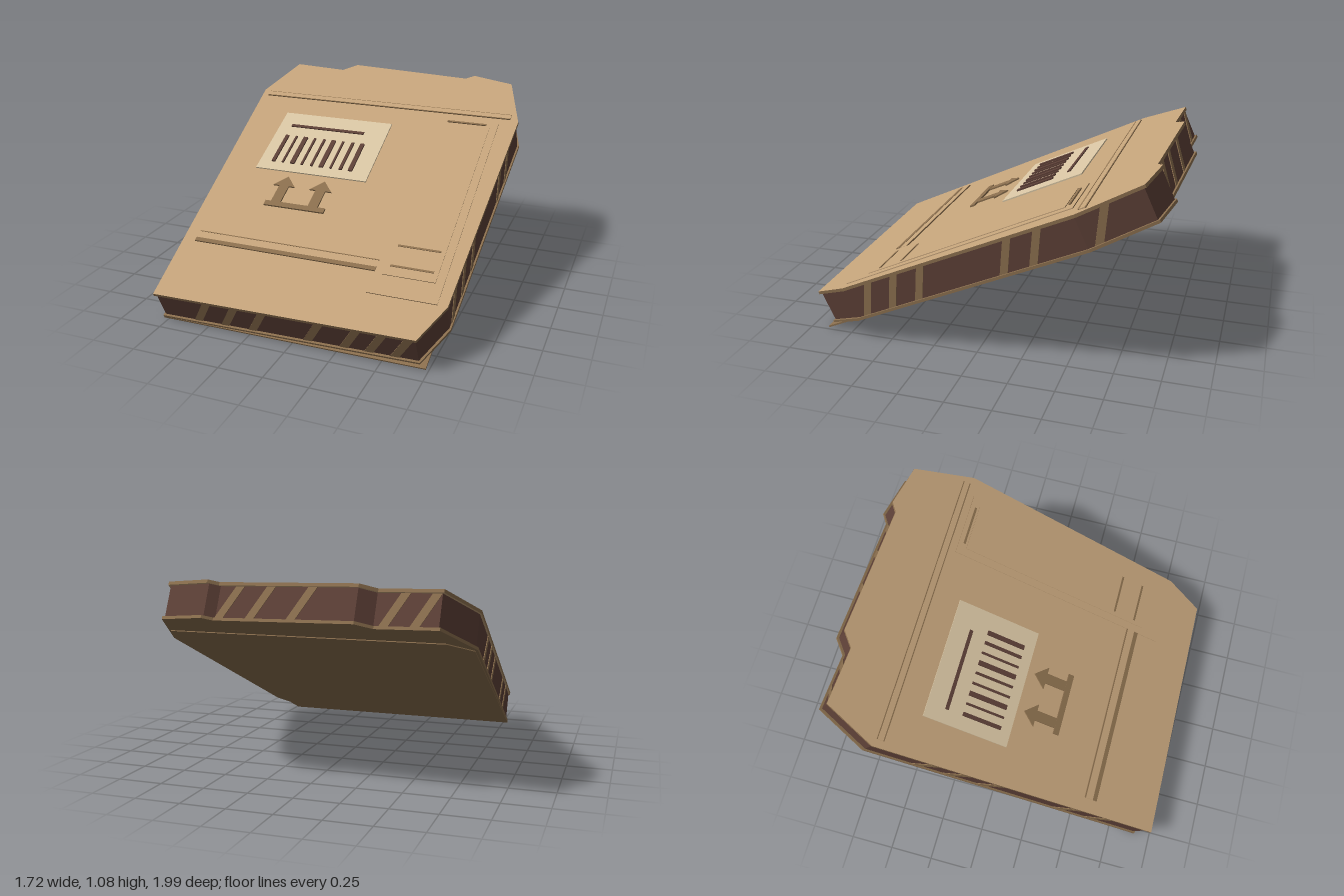
import * as THREE from 'three';

const mat = (name, color) => {
  const m = new THREE.MeshStandardMaterial({ color });
  m.name = name;
  return m;
};

// Slab outline as (x, z), counter-clockwise seen from above, starting at front left of the plan
const OUTLINE = [
  [-0.78, 1.046], [0.70, 1.022], [0.80, 0.79], [0.855, -0.646], [0.74, -0.996], [0.49, -1.048],
  [0.44, -1.013], [-0.32, -1.055], [-0.40, -0.99], [-0.73, -1.01], [-0.86, -0.712],
];
const BACKING = [[-0.78, 1.046], [0.735, 1.04], [0.79, -0.8], [-0.72, -0.8], [-0.845, -0.7]];
const INSET = 0.988;
const TOP = 0.103;

export function createModel() {
  const board = mat('cardboard', 0xc4a37a);
  const edge = mat('cardboardEdge', 0x8b6f4e);
  const dark = mat('darkBrown', 0x5d4037);
  const paper = mat('labelPaper', 0xd8c5a3);

  const model = new THREE.Group();
  model.name = 'cardboardSlab';
  const slab = new THREE.Group();
  slab.name = 'tiltedSlab';
  slab.rotation.x = THREE.MathUtils.degToRad(25);
  slab.position.y = 0.541;
  model.add(slab);

  const add = (name, geometry, material) => {
    const mesh = new THREE.Mesh(geometry, material);
    mesh.name = name;
    slab.add(mesh);
    return mesh;
  };
  // Flat plate from a plan outline, between heights y0 and y1
  const plate = (name, points, y0, y1, material, s = 1) => {
    const shape = new THREE.Shape(points.map(([x, z]) => new THREE.Vector2(x * s, -z * s)));
    const g = new THREE.ExtrudeGeometry(shape, { depth: y1 - y0, bevelEnabled: false });
    g.rotateX(-Math.PI / 2).translate(0, y0, 0);
    return add(name, g, material);
  };
  // Raised rectangle on the top face
  const strip = (name, x0, x1, z0, z1, h, material) => {
    const g = new THREE.BoxGeometry(x1 - x0, h, z1 - z0);
    g.translate((x0 + x1) / 2, TOP + h / 2, (z0 + z1) / 2);
    return add(name, g, material);
  };

  // Body: top sheet, inset walls, bottom sheet and backing
  plate('topSheet', OUTLINE, 0.085, TOP, [board, edge]);
  plate('walls', OUTLINE, -0.088, 0.086, dark, INSET);
  plate('bottomSheet', OUTLINE, -TOP, -0.087, edge);
  plate('backing', BACKING, -TOP - 0.005, -TOP + 0.004, edge);

  // Slanted stripes on the walls: edge index -> positions along that edge
  const stripeShape = new THREE.Shape([[-0.072, -0.086], [-0.024, -0.086], [0.072, 0.084], [0.024, 0.084]]
    .map(([x, y]) => new THREE.Vector2(x, y)));
  const stripeGeometry = new THREE.ExtrudeGeometry(stripeShape, { depth: 0.004, bevelEnabled: false });
  const stripes = {
    0: [0.176, 0.287, 0.399, 0.618, 0.757, 0.851, 0.946],
    2: [0.074, 0.196, 0.32, 0.696, 0.819],
    3: [0.3],
    6: [0.09, 0.32, 0.62],
    8: [0.3, 0.78],
    10: [0.2, 0.31, 0.43, 0.72, 0.84],
  };
  for (const [index, positions] of Object.entries(stripes)) {
    const a = OUTLINE[index], b = OUTLINE[(+index + 1) % OUTLINE.length];
    for (const t of positions) {
      const m = add('wallStripe', stripeGeometry, edge);
      m.position.set((a[0] + (b[0] - a[0]) * t) * INSET, 0, (a[1] + (b[1] - a[1]) * t) * INSET);
      m.rotation.y = Math.atan2(a[1] - b[1], b[0] - a[0]);
    }
  }

  // Label with a header line and bars
  strip('label', -0.61, 0.10, -0.5, 0.015, 0.008, paper);
  strip('labelHeader', -0.53, -0.045, -0.393, -0.373, 0.014, dark);
  [0.022, 0.012, 0.028, 0.013, 0.014, 0.028, 0.012, 0.018, 0.026].forEach((w, i) => {
    const x = -0.52 + i * 0.0625;
    strip('labelBar', x - w / 2, x + w / 2, -0.287, -0.05, 0.017, dark);
  });

  // Pair of upright arrows on a base line
  for (const x of [-0.372, -0.139]) {
    const arrow = [[-0.03, 0.275], [0.03, 0.275], [0.03, 0.137], [0.068, 0.137], [0, 0.06], [-0.068, 0.137], [-0.03, 0.137]];
    plate('arrow', arrow.map(([px, z]) => [x + px, z]), TOP, TOP + 0.009, edge);
  }
  strip('arrowBase', -0.435, -0.06, 0.268, 0.303, 0.01, edge);

  // Fold strips across the front and back of the top sheet
  strip('frontFold', -0.72, 0.365, 0.572, 0.62, 0.006, board);
  strip('frontFoldLine', -0.72, 0.365, 0.566, 0.572, 0.007, edge);
  strip('frontFoldEdge', -0.72, 0.365, 0.618, 0.644, 0.008, edge);
  strip('backFold', -0.815, 0.805, -0.695, -0.662, 0.006, board);
  strip('backFoldLine', -0.815, 0.805, -0.663, -0.657, 0.007, edge);
  strip('backFoldLine', -0.815, 0.805, -0.7, -0.694, 0.005, edge);

  // Side flap: two stacked sheets with short slots
  strip('sideFlap', 0.365, 0.745, -0.613, 0.79, 0.005, [board, board, board, board, edge, edge]);
  strip('sideFlapInner', 0.41, 0.70, -0.56, 0.66, 0.009, [board, board, board, board, edge, edge]);
  for (const z of [-0.58, 0.453, 0.596]) strip('flapSlot', 0.435, 0.675, z - 0.006, z + 0.006, 0.012, edge);

  return model;
}
